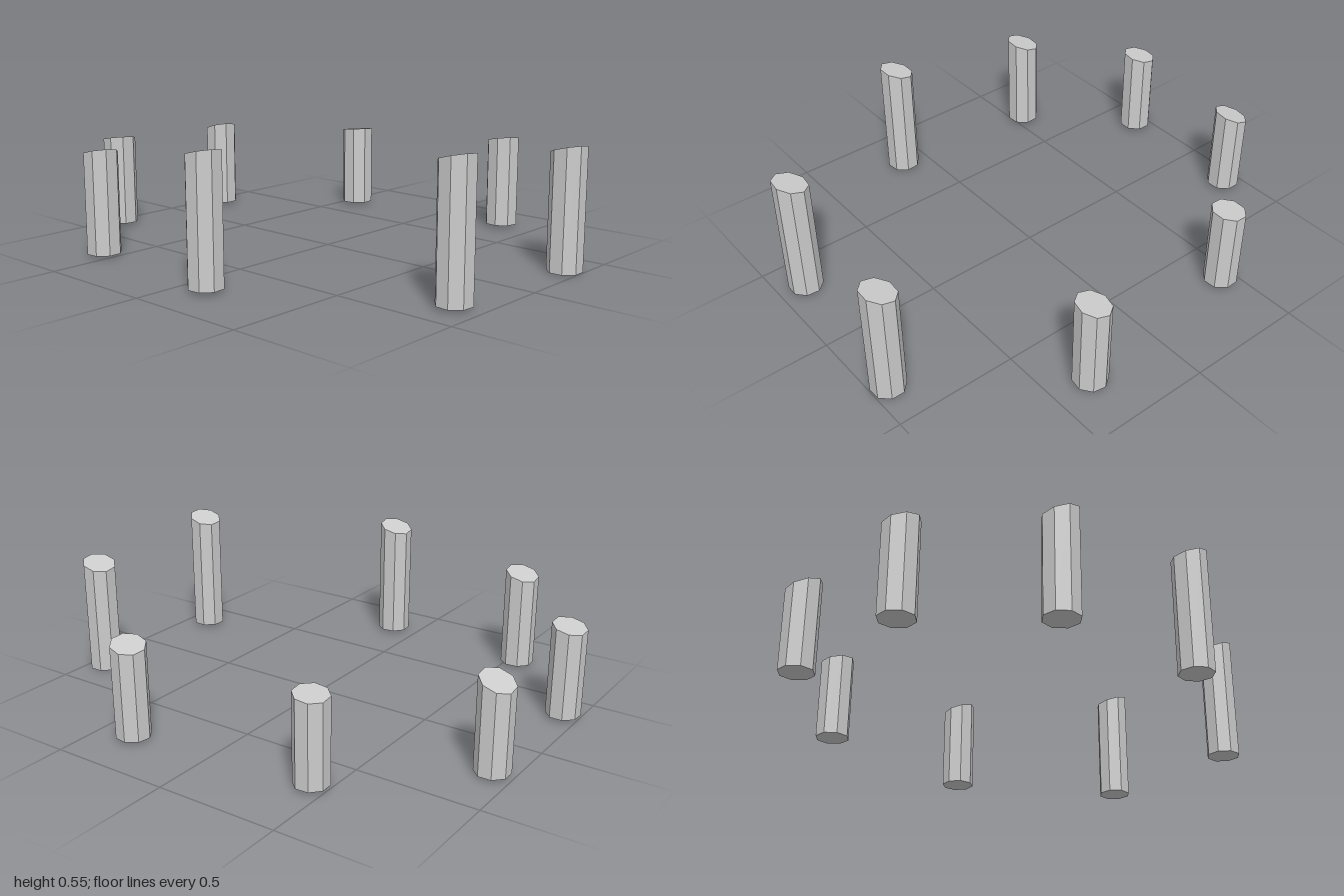
import * as THREE from 'three';

const RADIUS = 0.07;

// x, z, base height, top height at the axis, top slope along x, along z, turn in degrees
const PILLARS = [
  [-0.34, -0.935, 0.012, 0.386, -0.10, 0.20, 20],
  [0.25, -0.92, 0.012, 0.37, -0.15, 0.33, 23],
  [-0.725, -0.55, 0.012, 0.42, -0.13, 0.27, 26],
  [0.69, -0.435, 0.012, 0.361, -0.08, 0.12, 25],
  [-0.775, 0.115, 0.012, 0.506, -0.11, 0.27, 28],
  [0.77, 0.34, 0.012, 0.388, -0.16, 0.20, 13],
  [-0.335, 0.89, 0.012, 0.528, -0.12, 0.27, 18],
  [0.32, 0.93, 0, 0.473, -0.13, 0.27, 23],
];

// Octagonal prism whose top is cut by a slanted plane
function slantedPrism(base, top, slopeX, slopeZ, turn) {
  const geo = new THREE.CylinderGeometry(
    RADIUS, RADIUS, 1, 8, 1, false, THREE.MathUtils.degToRad(turn));
  const pos = geo.attributes.position;
  for (let i = 0; i < pos.count; i++) {
    const cut = top + slopeX * pos.getX(i) + slopeZ * pos.getZ(i);
    pos.setY(i, pos.getY(i) > 0 ? cut : base);
  }
  geo.computeVertexNormals();
  return geo;
}

export function createModel() {
  const group = new THREE.Group();
  group.name = 'pillarRing';
  const material = new THREE.MeshStandardMaterial({ color: 0xcccccc, flatShading: true });

  // Ring of eight free-standing pillars
  PILLARS.forEach(([x, z, base, top, slopeX, slopeZ, turn], i) => {
    const pillar = new THREE.Mesh(slantedPrism(base, top, slopeX, slopeZ, turn), material);
    pillar.name = `pillar${i + 1}`;
    pillar.position.set(x, 0, z);
    group.add(pillar);
  });
  return group;
}
